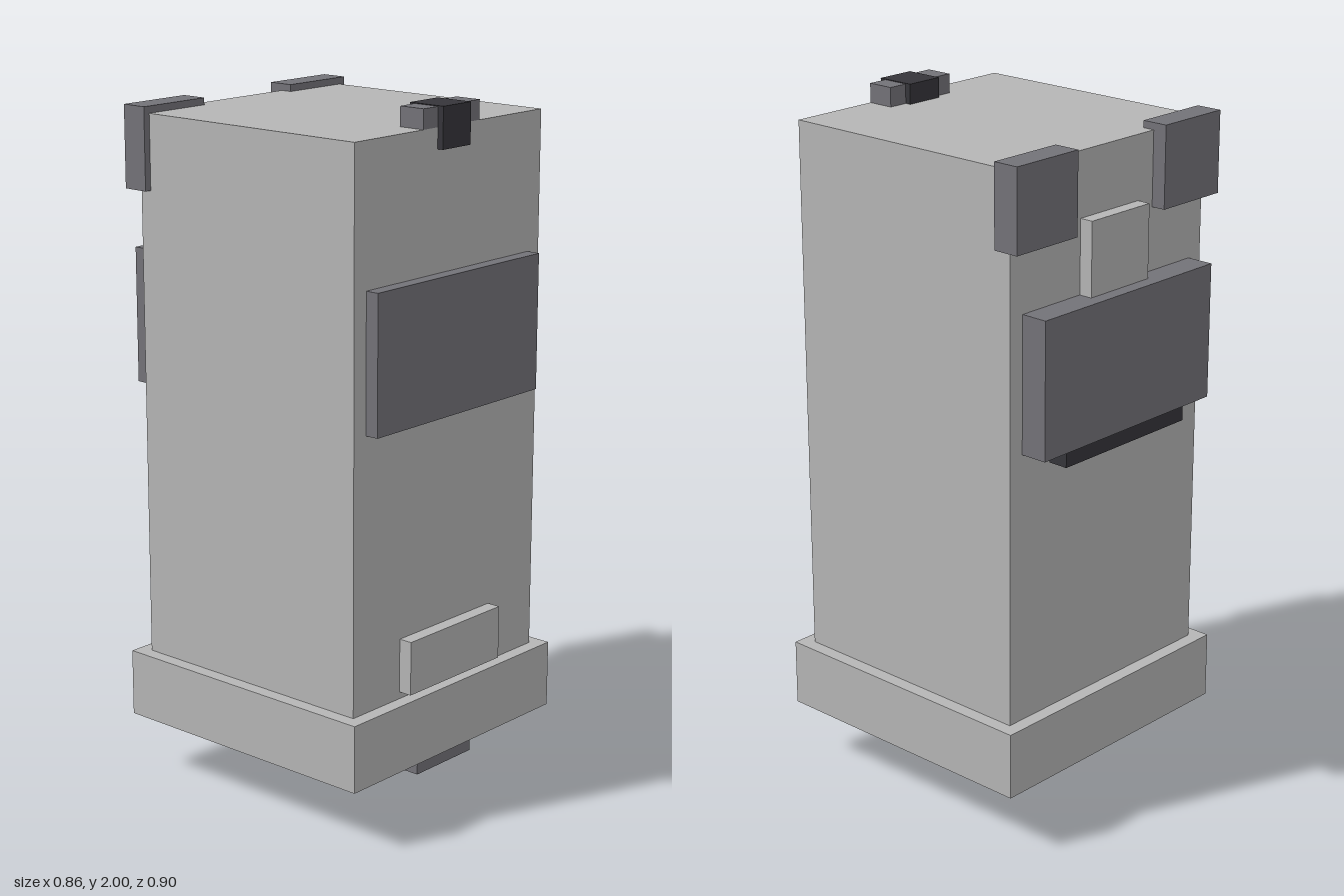
import * as THREE from 'three';

const makeMaterial = (name, color) => {
  const m = new THREE.MeshStandardMaterial({ color });
  m.name = name;
  return m;
};

export function createModel() {
  const group = new THREE.Group();
  group.name = 'cabinet';
  const lightGrey = makeMaterial('lightGrey', 0xb5b5b5);
  const midGrey = makeMaterial('midGrey', 0x737278);
  const darkGrey = makeMaterial('darkGrey', 0x36353a);

  // Box given by its extents along each axis
  const box = (name, material, [x0, x1], [y0, y1], [z0, z1]) => {
    const mesh = new THREE.Mesh(new THREE.BoxGeometry(x1 - x0, y1 - y0, z1 - z0), material);
    mesh.position.set((x0 + x1) / 2, (y0 + y1) / 2, (z0 + z1) / 2);
    mesh.name = name;
    group.add(mesh);
  };

  // Main block and plinth
  box('body', lightGrey, [-0.39, 0.39], [0.375, 1.943], [-0.37, 0.41]);
  box('plinth', lightGrey, [-0.43, 0.43], [0.18, 0.375], [-0.41, 0.45]);

  // Front plates
  box('frontPanel', midGrey, [-0.342, 0.342], [1.16, 1.55], [0.41, 0.45]);
  box('lowerFrontPlate', lightGrey, [-0.197, 0.192], [0.395, 0.55], [0.41, 0.45]);

  // Back plates and the dark strip under the panel
  box('backPanel', midGrey, [-0.342, 0.342], [1.16, 1.55], [-0.45, -0.37]);
  box('upperBackPlate', lightGrey, [-0.117, 0.117], [1.55, 1.76], [-0.41, -0.37]);
  box('backStrip', darkGrey, [-0.245, 0.245], [1.113, 1.16], [-0.44, -0.38]);

  // Back corner guards, mirrored
  for (const [name, x] of [['leftCornerGuard', [0.177, 0.41]], ['rightCornerGuard', [-0.41, -0.177]]]) {
    box(name, midGrey, x, [1.73, 1.963], [-0.412, -0.334]);
  }

  // Latch on the top front edge
  box('latchBase', midGrey, [-0.117, 0.117], [1.943, 1.998], [0.33, 0.41]);
  box('latch', darkGrey, [-0.058, 0.058], [1.885, 2], [0.313, 0.428]);

  // Tab and foot underneath
  box('bottomTab', midGrey, [-0.117, 0.117], [0.122, 0.18], [0.335, 0.41]);
  box('foot', darkGrey, [-0.078, 0.078], [0, 0.157], [-0.056, 0.1]);

  return group;
}
